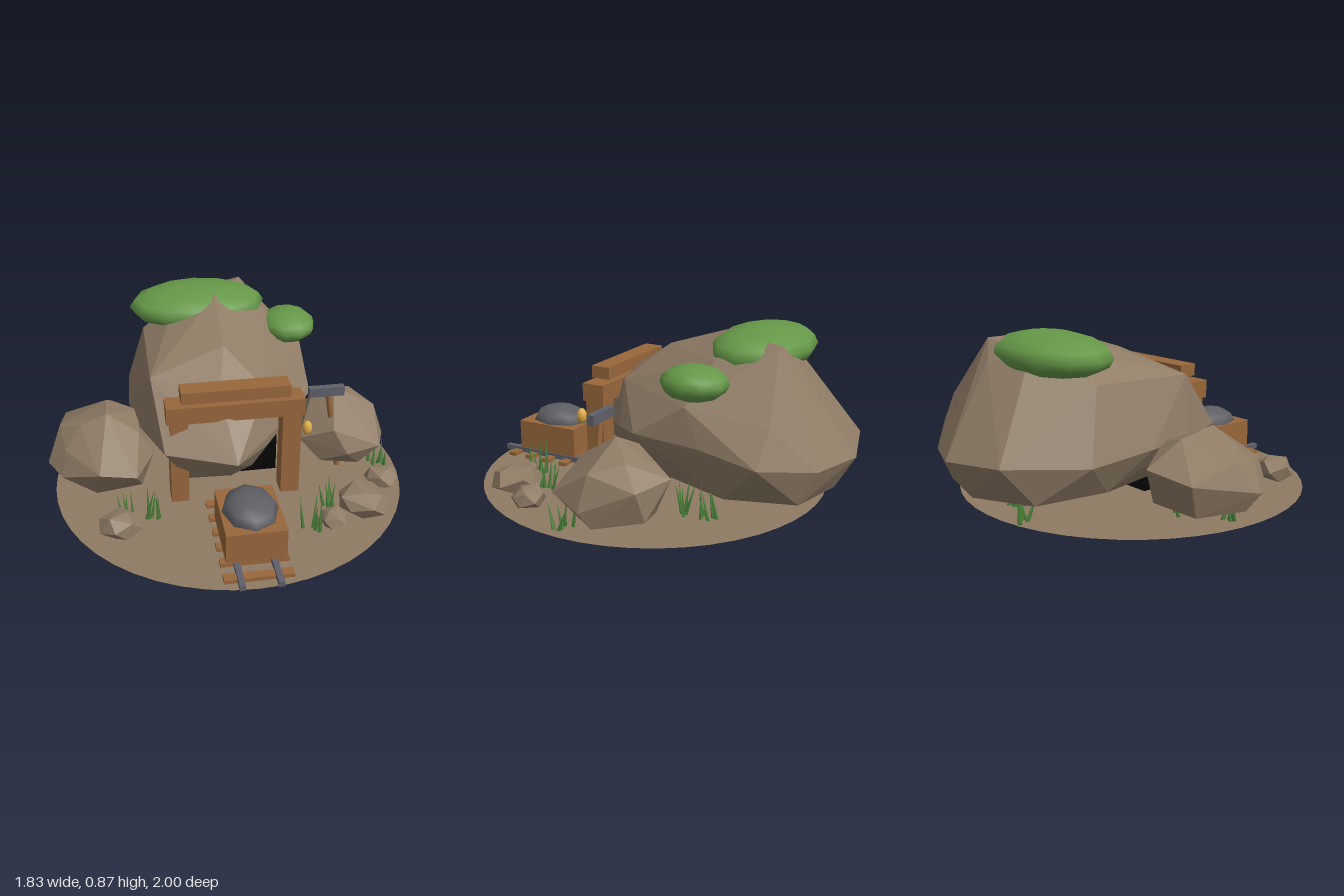
import * as THREE from 'three';
import { ConvexGeometry } from 'three/addons/geometries/ConvexGeometry.js';

const mat = (name, color) => {
  const m = new THREE.MeshStandardMaterial({ color });
  m.name = name;
  return m;
};

// Small seeded random generator
function seeded(seed) {
  let s = seed;
  return () => (s = (s * 16807) % 2147483647) / 2147483647;
}

export function createModel() {
  const model = new THREE.Group();
  model.name = 'mineEntrance';
  const rock = mat('rock', 0x8f7c66), earth = mat('earth', 0x8e7a64), wood = mat('wood', 0x98673b);
  const moss = mat('moss', 0x669848), grass = mat('grass', 0x4d843a), coal = mat('coal', 0x5e5e64);
  const metal = mat('metal', 0x5f5f6a), gold = mat('gold', 0xdcab46), black = mat('black', 0x050505);
  earth.side = THREE.DoubleSide;

  const add = (name, geometry, material, parent = model) => {
    const mesh = new THREE.Mesh(geometry, material);
    mesh.name = name;
    parent.add(mesh);
    return mesh;
  };
  // Box given by its limits on each axis
  const box = (name, material, x0, x1, y0, y1, z0, z1) => {
    const m = add(name, new THREE.BoxGeometry(x1 - x0, y1 - y0, z1 - z0), material);
    m.position.set((x0 + x1) / 2, (y0 + y1) / 2, (z0 + z1) / 2);
    return m;
  };
  const blob = (name, material, x, y, z, rx, ry, rz, w = 10, h = 8) => {
    const m = add(name, new THREE.SphereGeometry(1, w, h), material);
    m.position.set(x, y, z);
    m.scale.set(rx, ry, rz);
    return m;
  };
  // Faceted stone wrapped around corner points
  const stone = (name, points) =>
    add(name, new ConvexGeometry(points.map((p) => new THREE.Vector3(...p))), rock);

  // Ground disc
  const ground = add('ground', new THREE.CircleGeometry(0.9, 48), earth);
  ground.rotation.x = -Math.PI / 2;
  ground.position.set(0.01, 0.02, 0.09);

  // Main hill
  stone('hill', [
    // widest ring
    [0, 0.32, 0.46], [-0.34, 0.34, 0.345], [-0.44, 0.33, 0.05], [-0.48, 0.33, -0.2], [-0.46, 0.3, -0.55],
    [-0.28, 0.33, -0.92], [0.04, 0.31, -1], [0.29, 0.3, -0.9], [0.55, 0.36, -0.71], [0.52, 0.4, -0.42],
    [0.47, 0.4, -0.05], [0.35, 0.38, 0.1], [0.18, 0.3, 0.27],
    // shoulders and crown
    [-0.05, 0.59, 0.22], [0.18, 0.57, 0.17], [0, 0.735, 0], [-0.38, 0.635, 0.1], [-0.37, 0.65, -0.45],
    [0.01, 0.855, -0.36], [0.28, 0.75, -0.38], [0.19, 0.825, -0.66], [0.47, 0.57, -0.32], [0.43, 0.52, -0.72],
    [-0.1, 0.78, -0.62], [-0.21, 0.77, -0.4], [0.1, 0.74, -0.72],
    // underside
    [-0.28, 0.13, -0.15], [0.28, 0.13, -0.15], [0.3, 0.13, -0.82], [0, 0.125, -0.89], [-0.3, 0.13, -0.75],
    [-0.22, 0.12, 0.24], [0, 0.12, 0.25], [0.12, 0.13, 0.19], [-0.38, 0.14, -0.4], [0.42, 0.14, -0.5],
  ]);

  // Side boulders
  stone('rightBoulder', [
    [-0.915, 0.17, 0.06], [-0.845, 0.15, 0.18], [-0.82, 0.27, 0.12], [-0.845, 0.32, -0.05], [-0.82, 0.25, -0.29],
    [-0.57, 0.28, -0.33], [-0.605, 0.43, 0.06], [-0.74, 0.37, 0.06], [-0.44, 0.345, -0.1], [-0.45, 0.34, 0.12],
    [-0.38, 0.22, 0.13], [-0.48, 0.22, 0.345], [-0.66, 0.24, 0.33], [-0.86, 0.08, 0.02], [-0.68, 0.05, 0.2],
    [-0.45, 0.08, 0.2], [-0.5, 0.08, -0.22], [-0.78, 0.08, -0.22], [-0.6, 0.395, -0.14],
  ]);
  stone('leftBoulder', [
    [0.6, 0.425, -0.04], [0.5, 0.37, -0.1], [0.82, 0.31, -0.02], [0.875, 0.14, 0], [0.8, 0.18, 0.19],
    [0.55, 0.29, 0.18], [0.62, 0.16, 0.215], [0.39, 0.2, 0.08], [0.43, 0.22, -0.15], [0.6, 0.27, -0.325],
    [0.79, 0.25, -0.25], [0.72, 0.35, -0.16], [0.84, 0.06, -0.05], [0.5, 0.08, 0.13], [0.7, 0.06, 0.15],
    [0.55, 0.07, -0.22], [0.74, 0.1, -0.27],
  ]);

  // Loose stones: jittered points spread over an ellipsoid
  [
    [-0.58, 0.112, 0.55, 0.105, 0.076, 0.095], [0.762, 0.105, 0.355, 0.095, 0.063, 0.082],
    [0.61, 0.11, 0.54, 0.132, 0.078, 0.122], [0.437, 0.083, 0.62, 0.07, 0.049, 0.07],
  ].forEach(([x, y, z, rx, ry, rz], k) => {
    const rnd = seeded(97 + k * 31);
    const points = [];
    for (let i = 0; i < 15; i++) {
      const h = 1 - (2 * i + 1) / 15, r = Math.sqrt(1 - h * h);
      const a = i * 2.4 + k, s = 0.9 + rnd() * 0.2;
      points.push([x + rx * r * Math.cos(a) * s, y + ry * h * s, z + rz * r * Math.sin(a) * s]);
    }
    stone('looseStone' + (k + 1), points);
  });

  // Moss caps
  blob('mossCap', moss, -0.07, 0.763, -0.48, 0.365, 0.108, 0.24, 12, 8);
  blob('smallMossCap', moss, 0.402, 0.672, -0.338, 0.148, 0.084, 0.165, 10, 8);

  // Tunnel mouth and timber frame
  box('tunnelMouth', black, -0.22, 0.27, 0.012, 0.23, -0.02, 0.08);
  box('leftPost', wood, 0.25, 0.345, 0, 0.48, 0.195, 0.295);
  box('rightPost', wood, -0.31, -0.22, 0, 0.48, 0.195, 0.295);
  box('lintel', wood, -0.325, 0.357, 0.48, 0.57, 0.187, 0.305);
  box('upperBeam', wood, -0.25, 0.285, 0.583, 0.645, 0.195, 0.295);
  blob('lantern', gold, 0.371, 0.405, 0.305, 0.025, 0.039, 0.026, 10, 8);

  // Track
  for (let i = 0; i < 6; i++) {
    const z = 0.355 + i * 0.112;
    box('sleeper', wood, -0.145, 0.18, 0.014, 0.04, z - 0.023, z + 0.023);
  }
  for (const x of [-0.071, 0.106]) box('rail', metal, x - 0.014, x + 0.014, 0.027, 0.055, 0.29, 1);

  // Ore cart
  box('cart', wood, -0.125, 0.158, 0.075, 0.23, 0.51, 0.865);
  blob('coalHeap', coal, 0.016, 0.23, 0.685, 0.133, 0.08, 0.165, 8, 6);

  // Leaning hammer
  box('hammerHead', metal, 0.428, 0.612, 0.458, 0.507, 0.075, 0.112);
  const handle = add('hammerHandle', new THREE.CylinderGeometry(0.016, 0.016, 0.49, 6), wood);
  handle.position.set(0.567, 0.25, 0.09);
  handle.rotation.z = 0.165;

  // Grass clumps
  const rnd = seeded(4321);
  [
    [0.4, -0.42], [0.42, -0.27], [0, -0.48], [0.02, -0.63], [-0.17, -0.74], [0.815, 0.12], [0.47, 0.46],
    [0.335, 0.61], [-0.41, 0.43], [-0.52, 0.45], [-0.56, -0.12], [-0.775, 0.0],
  ].forEach(([x, z]) => {
    const clump = new THREE.Group();
    clump.name = 'grassClump';
    clump.position.set(x, 0.014, z);
    for (let i = 0; i < 5; i++) {
      const h = 0.14 + rnd() * 0.07;
      const blade = add('blade', new THREE.ConeGeometry(0.011, h, 4).translate(0, h / 2, 0), grass, clump);
      blade.position.set((rnd() - 0.5) * 0.08, 0, (rnd() - 0.5) * 0.07);
      blade.rotation.set((rnd() - 0.5) * 0.5, rnd() * 3, (rnd() - 0.5) * 0.5);
    }
    model.add(clump);
  });

  return model;
}
